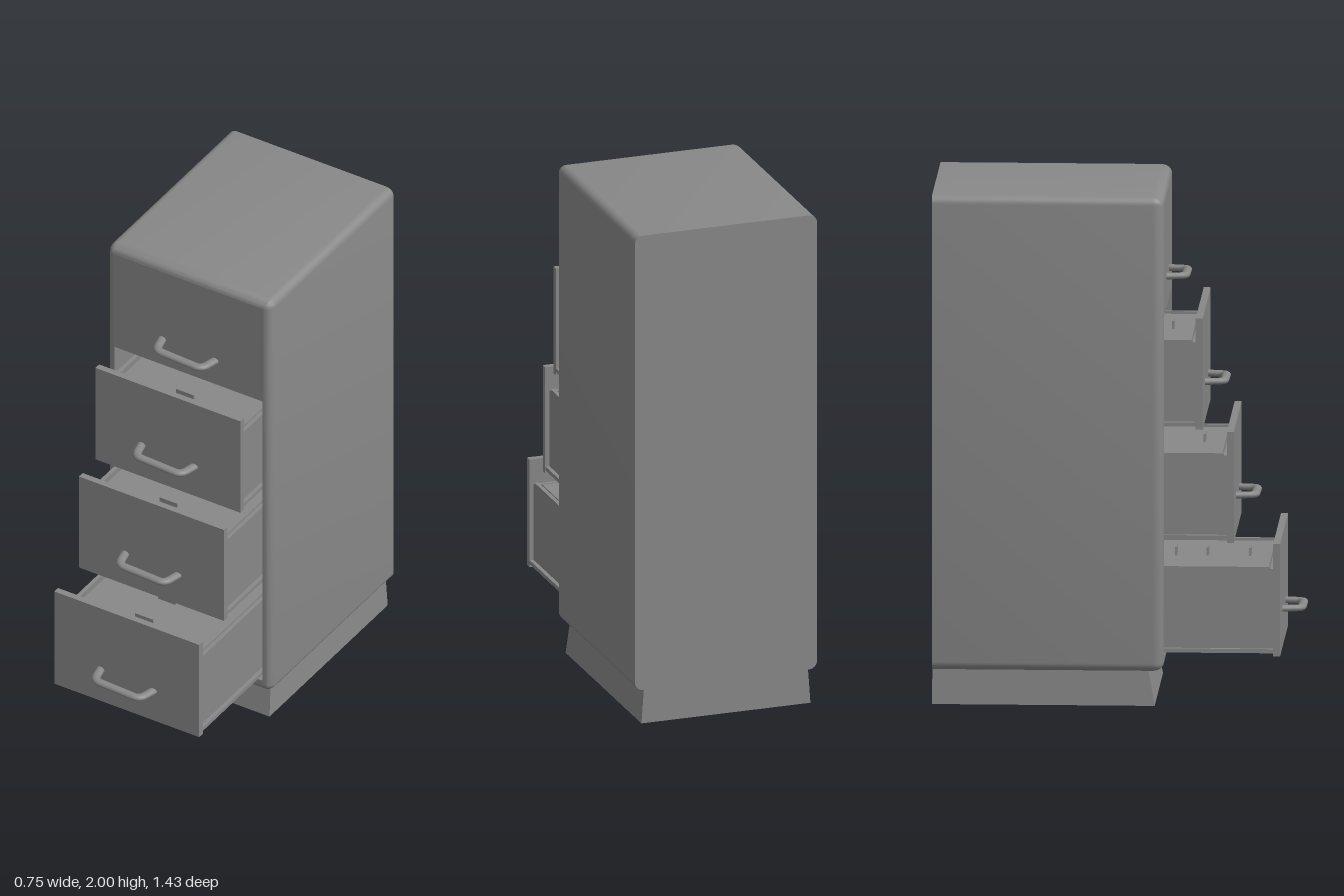
import * as THREE from 'three';
import { mergeVertices, toCreasedNormals } from 'three/addons/utils/BufferGeometryUtils.js';

const darkGrey = new THREE.MeshStandardMaterial({ color: 0x888888 });

function add(parent, name, geometry, x = 0, y = 0, z = 0) {
  const mesh = new THREE.Mesh(geometry, darkGrey);
  mesh.name = name;
  mesh.position.set(x, y, z);
  parent.add(mesh);
  return mesh;
}

// Box given by its lower and upper limits on each axis
function addBox(parent, name, [x0, x1], [y0, y1], [z0, z1]) {
  return add(parent, name, new THREE.BoxGeometry(x1 - x0, y1 - y0, z1 - z0),
    (x0 + x1) / 2, (y0 + y1) / 2, (z0 + z1) / 2);
}

// Counter-clockwise rounded rectangle in x and y
function roundedRect(w, y0, y1, r, steps = 6) {
  const points = [];
  const corners = [[w - r, y1 - r], [-w + r, y1 - r], [-w + r, y0 + r], [w - r, y0 + r]];
  corners.forEach(([cx, cy], q) => {
    for (let i = 0; i <= steps; i++) {
      const a = (q + i / steps) * Math.PI / 2;
      points.push(new THREE.Vector2(cx + r * Math.cos(a), cy + r * Math.sin(a)));
    }
  });
  return points;
}

// Skin between equal-length sections { points, z }
function loft(sections) {
  const n = sections[0].points.length;
  const positions = [], index = [];
  sections.forEach(({ points, z }) => points.forEach(p => positions.push(p.x, p.y, z)));
  for (let i = 0; i < sections.length - 1; i++) {
    for (let j = 0; j < n; j++) {
      const k = (j + 1) % n;
      const a = i * n + j, b = i * n + k, c = a + n, d = b + n;
      index.push(a, b, d, a, d, c);
    }
  }
  const g = new THREE.BufferGeometry();
  g.setAttribute('position', new THREE.Float32BufferAttribute(positions, 3));
  g.setIndex(index);
  return toCreasedNormals(mergeVertices(g), 0.6);
}

const FRONT = 0.175, BACK = -0.72;
const OPENING = { w: 0.338, y0: 0.19, y1: 1.525, back: -0.68 };

function buildCabinet() {
  const g = new THREE.Group();
  g.name = 'cabinet';
  const W = 0.374, Y0 = 0.137, Y1 = 2, R = 0.033, DEPTH = 0.042;

  // Shell with rounded front edges and a flat back
  const section = (inset, z) => ({
    points: roundedRect(W - inset, Y0 + inset, Y1 - inset, Math.max(R - inset, 0.002)), z
  });
  const sections = [section(0, BACK)];
  for (let i = 0; i <= 6; i++) {
    const a = i / 6 * Math.PI / 2;
    sections.push(section(R * (1 - Math.cos(a)), FRONT - DEPTH + DEPTH * Math.sin(a)));
  }
  add(g, 'shell', loft(sections));
  const back = add(g, 'backPanel', new THREE.ShapeGeometry(new THREE.Shape(sections[0].points)), 0, 0, BACK);
  back.rotation.y = Math.PI;

  // Front frame around the drawer opening, closed above it
  const { w, y0, y1 } = OPENING;
  const rim = [[w, y1], [-w, y1], [-w, y0], [w, y0]].map(p => new THREE.Vector2(...p));
  const frame = new THREE.Shape(sections.at(-1).points);
  frame.holes.push(new THREE.Path(rim));
  add(g, 'frontFrame', new THREE.ShapeGeometry(frame), 0, 0, FRONT);

  // Inward-facing cavity
  const centre = rim.map(() => new THREE.Vector2(0, (y0 + y1) / 2));
  add(g, 'cavity', loft([
    { points: rim, z: FRONT },
    { points: rim, z: OPENING.back },
    { points: centre, z: OPENING.back }
  ]));
  return g;
}

// Plinth flares outward towards the floor
function buildPlinth(parent) {
  const geometry = new THREE.BoxGeometry(2, 0.14, 1);
  const p = geometry.attributes.position;
  for (let i = 0; i < p.count; i++) {
    const top = p.getY(i) > 0;
    p.setX(i, p.getX(i) * (top ? 0.337 : 0.347));
    p.setZ(i, p.getZ(i) < 0 ? BACK : top ? 0.115 : 0.14);
  }
  geometry.computeVertexNormals();
  add(parent, 'plinth', geometry, 0, 0.07, 0);
}

// Bent bar handle with an oval section, slightly tilted
function buildHandle(parent, y, z) {
  const v = (x, d) => new THREE.Vector3(x, 0, d);
  const path = new THREE.CurvePath();
  path.add(new THREE.LineCurve3(v(-0.122, -0.01), v(-0.11, 0.042)));
  path.add(new THREE.QuadraticBezierCurve3(v(-0.11, 0.042), v(-0.103, 0.073), v(-0.075, 0.073)));
  path.add(new THREE.LineCurve3(v(-0.075, 0.073), v(0.075, 0.073)));
  path.add(new THREE.QuadraticBezierCurve3(v(0.075, 0.073), v(0.103, 0.073), v(0.11, 0.042)));
  path.add(new THREE.LineCurve3(v(0.11, 0.042), v(0.122, -0.01)));
  const handle = add(parent, 'handle', new THREE.TubeGeometry(path, 64, 0.017, 14), 0, y, z);
  handle.scale.y = 0.78;
  handle.rotation.z = -0.045;
}

function buildDrawer({ y0, y1, front, tabs }) {
  const g = new THREE.Group();
  g.name = 'drawer';
  const rear = front - 0.027, end = rear - 0.75, top = y0 + 0.348;
  addBox(g, 'drawerFront', [-0.33, 0.33], [y0, y1], [rear, front]);
  addBox(g, 'drawerBottom', [-0.329, 0.329], [y0 + 0.012, y0 + 0.028], [end, rear]);
  for (const s of [-1, 1]) {
    addBox(g, 'drawerSide', [s * 0.305 - 0.008, s * 0.305 + 0.008], [y0 + 0.028, top], [end, rear - 0.012]);
  }
  addBox(g, 'drawerInnerFront', [-0.313, 0.313], [y0 + 0.028, top - 0.008], [rear - 0.014, rear]);
  addBox(g, 'drawerBack', [-0.297, 0.297], [y0 + 0.028, top - 0.004], [end, end + 0.015]);

  // Packed files with a few index tabs standing above them
  addBox(g, 'files', [-0.285, 0.285], [y0 + 0.028, top - 0.008], [end + 0.02, rear - 0.02]);
  for (const [x, z] of tabs) {
    addBox(g, 'indexTab', [x - 0.04, x + 0.04], [top - 0.02, top + 0.024], [z - 0.004, z + 0.004]);
  }
  return g;
}

export function createModel() {
  const model = new THREE.Group();
  model.name = 'filingCabinet';
  model.add(buildCabinet());
  buildPlinth(model);

  const drawers = [
    { y0: 1.083, y1: 1.52, front: 0.325, handleY: 1.228, tabs: [[0, 0.197]] },
    { y0: 0.64, y1: 1.075, front: 0.445, handleY: 0.783, tabs: [[0, 0.318]] },
    { y0: 0.195, y1: 0.636, front: 0.624, handleY: 0.34, tabs: [[0, 0.495], [0, 0.33], [0, 0.208]] }
  ];
  for (const d of drawers) {
    model.add(buildDrawer(d));
    buildHandle(model, d.handleY, d.front);
  }
  // Handle of the closed top drawer
  buildHandle(model, 1.641, FRONT);
  return model;
}
